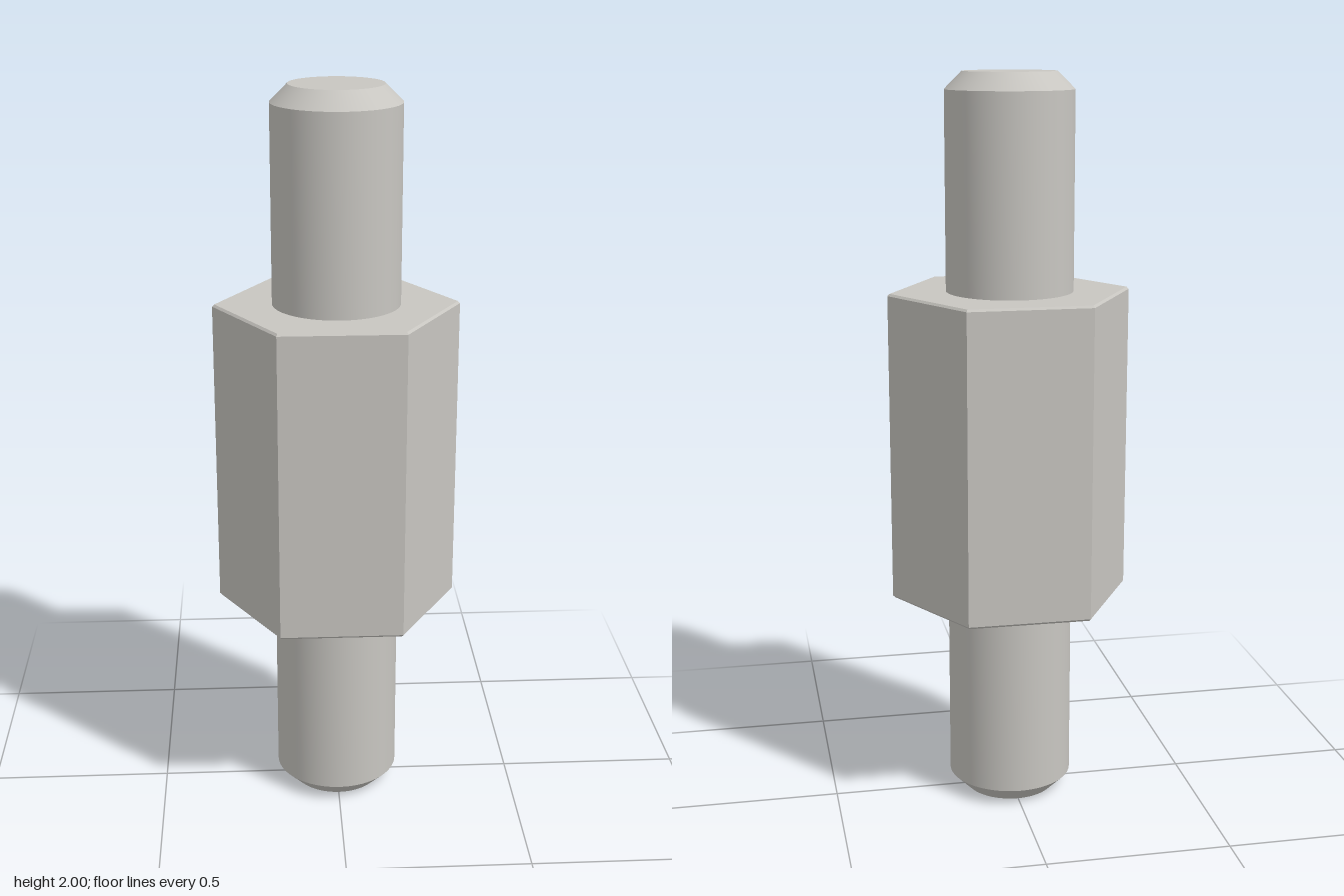
import * as THREE from 'three';
import { toCreasedNormals } from 'three/addons/utils/BufferGeometryUtils.js';

const HEX_BOTTOM = 0.58, HEX_TOP = 1.428;
const HEX_R = 0.329, BEVEL = 0.006;
const STUD_R = 0.171, TIP_R = 0.125, CHAMFER = 0.046;

// Revolve a bottom-to-top profile, keeping its edges sharp
function turned(profile, sides, start = 0) {
  const points = profile.map(([r, y]) => new THREE.Vector2(r, y));
  return toCreasedNormals(new THREE.LatheGeometry(points, sides, start), 0.5);
}

export function createModel() {
  const group = new THREE.Group();
  group.name = 'hexStandoff';
  const steel = new THREE.MeshStandardMaterial({ color: 0xc8c6c1 });
  steel.name = 'steel grey';

  function add(name, geometry) {
    const mesh = new THREE.Mesh(geometry, steel);
    mesh.name = name;
    group.add(mesh);
  }

  // Hexagonal body with fine bevels, corners pointing along x
  add('hexBody', turned([
    [0, HEX_BOTTOM],
    [HEX_R - BEVEL, HEX_BOTTOM],
    [HEX_R, HEX_BOTTOM + BEVEL],
    [HEX_R, HEX_TOP - BEVEL],
    [HEX_R - BEVEL, HEX_TOP],
    [0, HEX_TOP],
  ], 6, Math.PI / 6));

  // Round studs with chamfered tips
  add('upperStud', turned([
    [STUD_R, HEX_TOP],
    [STUD_R, 2 - CHAMFER],
    [TIP_R, 2],
    [0, 2],
  ], 64));
  add('lowerStud', turned([
    [0, 0],
    [TIP_R, 0],
    [STUD_R, CHAMFER],
    [STUD_R, HEX_BOTTOM],
  ], 64));

  return group;
}
